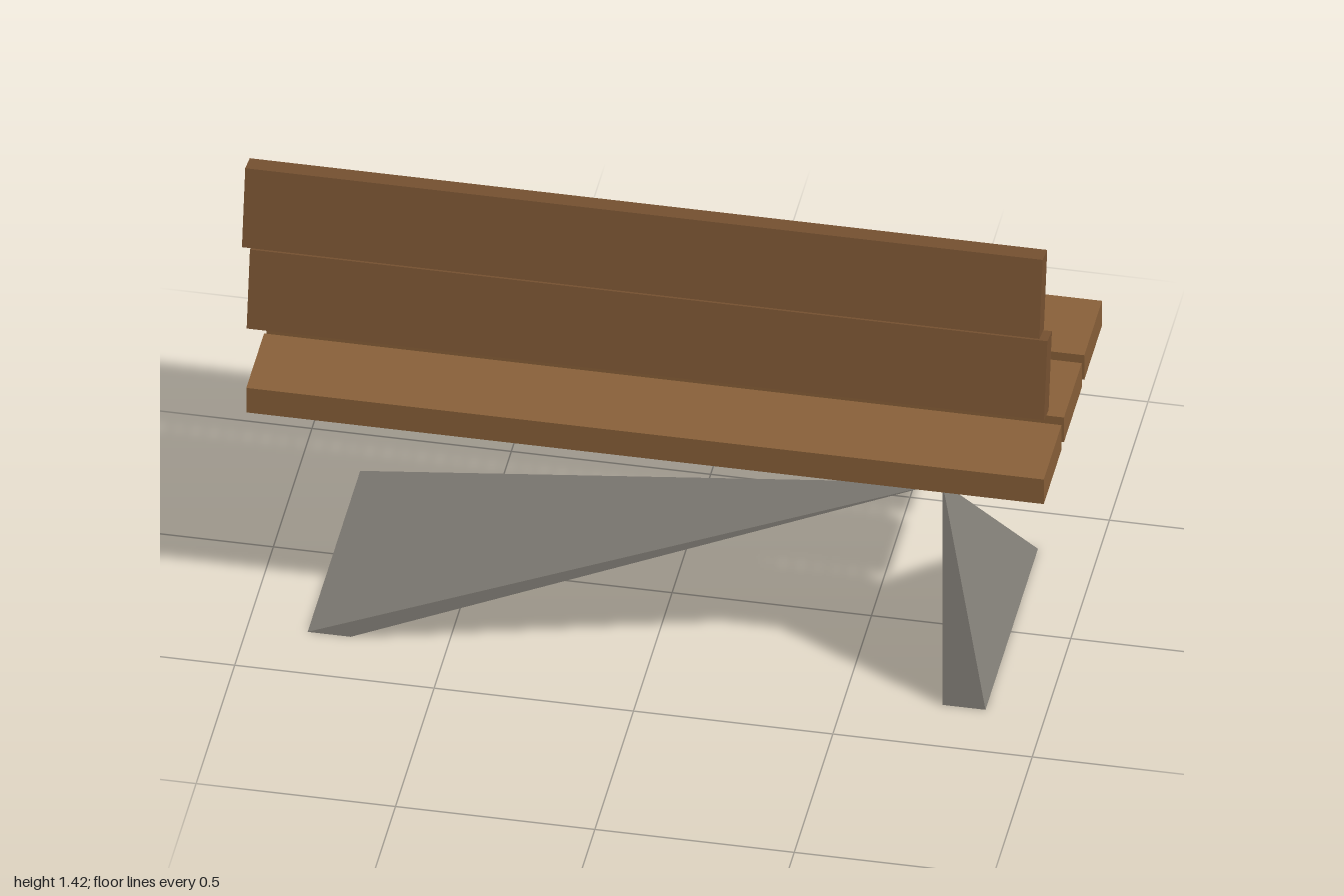
import * as THREE from 'three';

const seatWood = new THREE.MeshStandardMaterial({ color: 0x8b623a, flatShading: true });
const backWood = new THREE.MeshStandardMaterial({ color: 0x7a5433, flatShading: true });
const legStone = new THREE.MeshStandardMaterial({ color: 0x8c8880, flatShading: true });

// full-width plank centred at (0, y, z), tilted about x
function plank(name, height, depth, y, z, tilt, material) {
  const mesh = new THREE.Mesh(new THREE.BoxGeometry(2, height, depth), material);
  mesh.name = name;
  mesh.position.set(0, y, z);
  mesh.rotation.x = tilt;
  return mesh;
}

// rectangular-based pyramid, sheared so its tip lands on the given apex
function slantedPyramid(name, x0, x1, z0, z1, apex) {
  const geometry = new THREE.ConeGeometry(Math.SQRT1_2, 1, 4, 1)
    .rotateY(Math.PI / 4)
    .translate(0, 0.5, 0)
    .toNonIndexed();
  const p = geometry.attributes.position;
  for (let i = 0; i < p.count; i++) {
    const t = p.getY(i);
    const x = x0 + (x1 - x0) * (p.getX(i) + 0.5);
    const z = z0 + (z1 - z0) * (p.getZ(i) + 0.5);
    p.setXYZ(i, THREE.MathUtils.lerp(x, apex.x, t), t * apex.y, THREE.MathUtils.lerp(z, apex.z, t));
  }
  geometry.computeVertexNormals();
  const mesh = new THREE.Mesh(geometry, legStone);
  mesh.name = name;
  return mesh;
}

export function createModel() {
  const bench = new THREE.Group();
  bench.name = 'bench';

  // three seat slats
  [0.235, -0.027, -0.29].forEach((z, i) =>
    bench.add(plank('seatSlat' + (i + 1), 0.075, 0.23, 0.7025, z, 0, seatWood)));

  // two leaning backrest slats
  bench.add(plank('lowerBackSlat', 0.215, 0.06, 1.018, 0.295, -0.2, backWood));
  bench.add(plank('upperBackSlat', 0.215, 0.06, 1.311, 0.356, -0.2, backWood));

  // two legs sharing one tip under the seat
  const apex = new THREE.Vector3(0.742, 0.68, 0.33);
  bench.add(slantedPyramid('leftLeg', 0.742, 0.85, -0.35, 0.33, apex));
  bench.add(slantedPyramid('rightLeg', -0.85, -0.742, -0.35, 0.33, apex));

  return bench;
}
